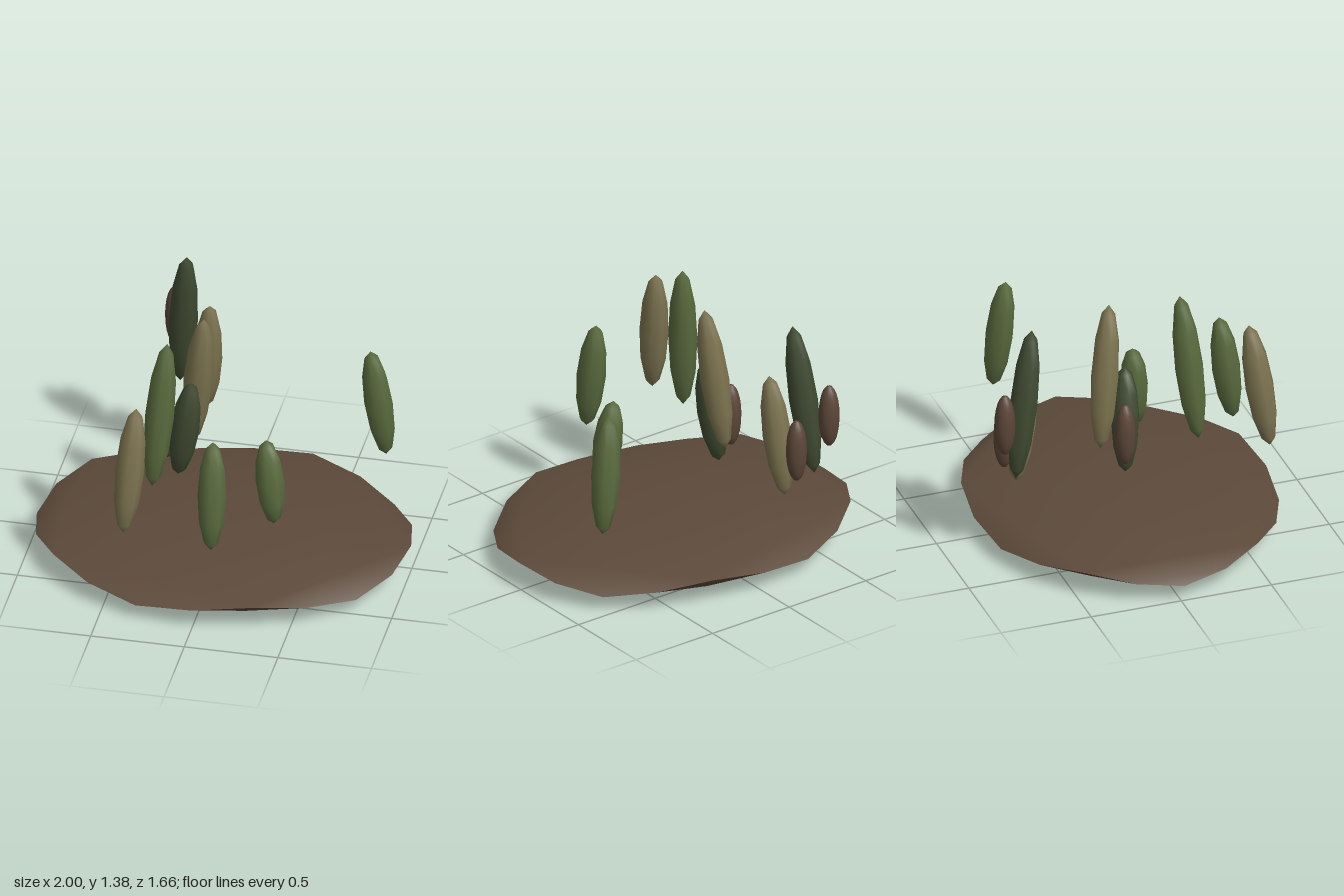
import * as THREE from 'three';
import { mergeGeometries } from 'three/addons/utils/BufferGeometryUtils.js';

const mat = (name, color) => Object.assign(new THREE.MeshStandardMaterial({ color }), { name });

// One half of the faceted ground disc; its rim zigzags between high and low corners.
function groundHalf() {
  const pos = [], idx = [];
  const add = (deg, r, y) => {
    const t = THREE.MathUtils.degToRad(deg);
    return pos.push(r * Math.cos(t), y, -r * Math.sin(t)) / 3 - 1;
  };
  const ring = (n, start, r, y) => Array.from({ length: n }, (_, i) => add(start + i * 360 / n, r, y));
  const top = add(0, 0, 0.118);
  const inner = ring(5, 0, 0.526, 0.1);
  const outer = ring(5, 36, 0.85, 0.062);
  const high = ring(5, 0, 1, 0.033);
  const rim = ring(10, 18, 1, 0);
  const low = ring(5, 36, 1, -0.033);
  for (let i = 0; i < 5; i++) {
    const j = (i + 1) % 5, e = rim[2 * i], f = rim[2 * i + 1];
    idx.push(
      top, inner[i], inner[j],
      inner[i], outer[i], inner[j],
      inner[i], high[i], outer[i],
      inner[j], outer[i], high[j],
      high[i], e, outer[i],
      outer[i], e, f,
      outer[i], f, high[j],
      e, low[i], f);
  }
  const g = new THREE.BufferGeometry();
  g.setAttribute('position', new THREE.Float32BufferAttribute(pos, 3));
  g.setIndex(idx);
  return g;
}

export function createModel() {
  const group = new THREE.Group();
  const soil = mat('soil brown', 0x5c4a3a);
  const green = mat('leaf green', 0x5a6b3e);
  const dark = mat('dark green', 0x3f4a31);
  const khaki = mat('dry khaki', 0x7d7450);
  const brown = mat('seed head brown', 0x5c4638);

  // Ground disc: the lower half is the upper one turned over, with a sharp rim
  const upper = groundHalf();
  const lower = upper.clone().rotateX(Math.PI).rotateY(Math.PI / 5);
  const disc = mergeGeometries([upper, lower]).scale(1, 1, 0.811);
  disc.computeVertexNormals();
  const ground = new THREE.Mesh(disc, soil);
  ground.name = 'ground';
  ground.position.set(0, 0.123, 0.018);
  group.add(ground);

  // Leaves: slender pointed spindles from bottom tip to top tip
  const leafGeo = new THREE.SphereGeometry(1, 8, 6);
  const up = new THREE.Vector3(0, 1, 0);
  const leaves = [
    [green, [-0.315, 0.55, 0.34], [-0.25, 1.385, 0.26]],
    [dark, [-0.39, 0.55, -0.70], [-0.33, 1.385, -0.59]],
    [khaki, [-0.21, 0.53, -0.165], [-0.13, 1.335, -0.09]],
    [khaki, [-0.39, 0.48, 0.71], [-0.34, 1.19, 0.61]],
    [green, [0.07, 0.41, 0.67], [0.065, 1.025, 0.59]],
    [green, [0.31, 0.325, 0.215], [0.26, 0.81, 0.18]],
    [green, [0.775, 0.43, -0.41], [0.70, 1.08, -0.365]],
    [dark, [-0.26, 0.395, -0.045], [-0.18, 0.98, -0.02]],
    [khaki, [-0.24, 0.445, -0.645], [-0.20, 1.12, -0.56]],
  ];
  leaves.forEach(([m, a, b], i) => {
    const p = new THREE.Vector3(...a), q = new THREE.Vector3(...b);
    const leaf = new THREE.Mesh(leafGeo, m);
    leaf.name = `leaf${i + 1}`;
    leaf.position.lerpVectors(p, q, 0.5);
    leaf.scale.set(0.077, p.distanceTo(q) / 2, 0.077);
    leaf.quaternion.setFromUnitVectors(up, q.sub(p).normalize());
    group.add(leaf);
  });

  // Seed heads: upright rounded ellipsoids
  const seedGeo = new THREE.SphereGeometry(1, 14, 12);
  [[-0.43, 0.905, -0.775], [-0.26, 0.728, -0.718], [-0.32, 0.655, -0.068]].forEach((p, i) => {
    const seed = new THREE.Mesh(seedGeo, brown);
    seed.name = `seedHead${i + 1}`;
    seed.position.set(...p);
    seed.scale.set(0.056, 0.176, 0.056);
    group.add(seed);
  });
  return group;
}
